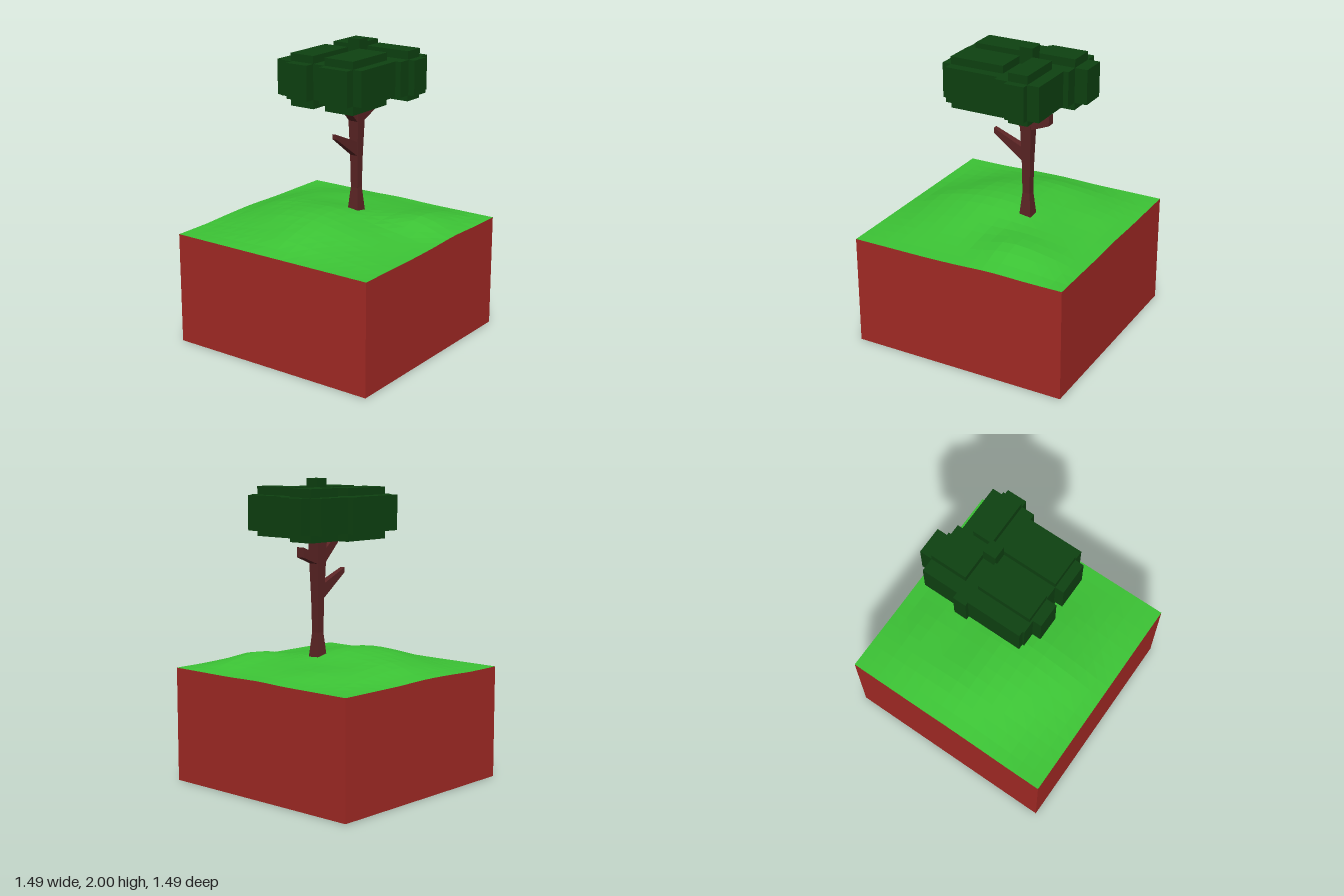
import * as THREE from 'three';

const material = (color, extra = {}) =>
  new THREE.MeshStandardMaterial({ color, flatShading: true, ...extra });

const HALF = 0.745, LEVEL = 0.75, CELLS = 16;

// Hill heights above LEVEL in hundredths: rows run back to front, columns left to right
const HILLS = [
  [1, 1, 1, 1.5, 1, 1, 1],
  [1, 4, 6, 5, 5, 6, 1],
  [1, 7, 8, 8, 7.5, 8.7, 1.5],
  [1.5, 8.5, 11.5, 12.3, 7.5, 4, 0.5],
  [1, 6, 11, 12, 8, 3, 0],
  [0, 2, 5, 7.5, 4.5, 2, 0],
  [0, 0, 0, 0, 0, 0, 0],
];

// Catmull-Rom interpolation through a row of evenly spaced values
function spline(v, t) {
  const i = Math.min(Math.floor(t), v.length - 2), f = t - i;
  const p = (k) => v[Math.max(0, Math.min(v.length - 1, k))];
  const a = p(i - 1), b = p(i), c = p(i + 1), d = p(i + 2);
  return b + 0.5 * f * (c - a + f * (2 * a - 5 * b + 4 * c - d + f * (3 * (b - c) + d - a)));
}

function groundHeight(x, z) {
  const grid = (n) => THREE.MathUtils.clamp((n + HALF) / (2 * HALF), 0, 1) * 6;
  const column = HILLS.map((row) => spline(row, grid(x)));
  return LEVEL + 0.01 * Math.max(0, spline(column, grid(z)));
}

function addMesh(parent, name, geometry, mat) {
  const mesh = new THREE.Mesh(geometry, mat);
  mesh.name = name;
  parent.add(mesh);
  return mesh;
}

// Moves every vertex with rule(vector)
function reshape(geometry, rule) {
  const p = geometry.attributes.position, v = new THREE.Vector3();
  for (let i = 0; i < p.count; i++) {
    rule(v.fromBufferAttribute(p, i));
    p.setXYZ(i, v.x, v.y, v.z);
  }
  geometry.computeVertexNormals();
  return geometry;
}

function createGround(mats) {
  const ground = new THREE.Group();
  ground.name = 'ground';
  const size = 2 * HALF;

  // Rolling grass surface
  const grass = new THREE.PlaneGeometry(size, size, CELLS, CELLS).rotateX(-Math.PI / 2);
  addMesh(ground, 'grass', reshape(grass, (v) => { v.y = groundHeight(v.x, v.z); }), mats.grass);

  // Four soil walls whose top edge follows the grass
  for (let i = 0; i < 4; i++) {
    const wall = new THREE.PlaneGeometry(size, 1, CELLS, 1)
      .translate(0, 0.5, HALF).rotateY(i * Math.PI / 2);
    addMesh(ground, 'soilWall', reshape(wall, (v) => {
      v.y = v.y > 0.5 ? groundHeight(v.x, v.z) : 0;
    }), mats.soil);
  }

  // Underside
  addMesh(ground, 'underside', new THREE.PlaneGeometry(size, size).rotateX(Math.PI / 2), mats.leaves);
  return ground;
}

const TRUNK_X = 0.044, TRUNK_Z = -0.138;

function createTrunk(mats) {
  const wood = new THREE.Group();
  wood.name = 'trunkAndBranches';

  // Square trunk: narrow above the foot, flaring again under the crown
  const widths = [[0.8, 0.09], [1.0, 0.052], [1.22, 0.06], [1.45, 0.076], [1.7, 0.092]];
  const trunk = new THREE.BoxGeometry(1, widths.length - 1, 1, 1, widths.length - 1, 1);
  addMesh(wood, 'trunk', reshape(trunk, (v) => {
    const [y, w] = widths[Math.round(v.y + (widths.length - 1) / 2)];
    v.set(TRUNK_X + v.x * w, y, TRUNK_Z + v.z * w);
  }), mats.wood);

  // Tapered branches: [z, low y, high y, width] at root and tip
  const branches = [
    [[-0.125, 1.21, 1.31, 0.056], [0.105, 1.375, 1.408, 0.034]],
    [[-0.115, 1.44, 1.53, 0.07], [0.045, 1.6, 1.66, 0.06]],
    [[-0.16, 1.445, 1.51, 0.07], [-0.3, 1.5, 1.565, 0.06]],
  ];
  for (const [root, tip] of branches) {
    const forward = tip[0] > root[0];
    const branch = new THREE.BoxGeometry(1, 1, 1);
    addMesh(wood, 'branch', reshape(branch, (v) => {
      const [z, low, high, w] = (v.z > 0) === forward ? tip : root;
      v.set(TRUNK_X + v.x * w, v.y > 0 ? high : low, z);
    }), mats.wood);
  }
  return wood;
}

function createCrown(mats) {
  const crown = new THREE.Group();
  crown.name = 'crown';
  const block = (name, x0, x1, y0, y1, z0, z1) =>
    addMesh(crown, name, new THREE.BoxGeometry(x1 - x0, y1 - y0, z1 - z0), mats.leaves)
      .position.set((x0 + x1) / 2, (y0 + y1) / 2, (z0 + z1) / 2);

  // Central post and the low cross between the clumps
  block('crownCentre', 0, 0.09, 1.66, 2, -0.19, -0.1);
  block('crownCross', 0, 0.09, 1.66, 1.89, -0.44, 0.27);
  block('crownCross', -0.31, 0.41, 1.66, 1.89, -0.19, -0.1);

  // Each clump: a tall core, then two shallower slabs crossing it
  const clumps = {
    frontRightLeaves: [
      [-0.18, 0, 1.6, 1.94, -0.1, 0.27],
      [-0.285, 0, 1.66, 1.89, -0.1, 0.27],
      [-0.16, 0, 1.66, 1.89, -0.1, 0.34],
      [-0.25, 0, 1.66, 1.89, -0.1, 0.282]],
    frontLeftLeaves: [
      [0.09, 0.305, 1.6, 1.94, -0.1, 0.27],
      [0.09, 0.37, 1.66, 1.89, -0.1, 0.27],
      [0.09, 0.305, 1.66, 1.89, -0.1, 0.33]],
    backLeftLeaves: [
      [0.09, 0.405, 1.62, 1.945, -0.325, -0.19],
      [0.09, 0.455, 1.66, 1.89, -0.325, -0.19],
      [0.09, 0.41, 1.66, 1.89, -0.405, -0.19]],
    backRightLeaves: [
      [-0.18, 0, 1.61, 1.945, -0.44, -0.19],
      [-0.27, 0, 1.66, 1.89, -0.44, -0.19],
      [-0.18, 0, 1.66, 1.89, -0.525, -0.19]],
  };
  for (const [name, boxes] of Object.entries(clumps))
    for (const box of boxes) block(name, ...box);
  return crown;
}

export function createModel() {
  const mats = {
    grass: material(0x3cc435, { side: THREE.DoubleSide }),
    soil: material(0xa52a25, { side: THREE.DoubleSide }),
    wood: material(0x5c2525),
    leaves: material(0x0e4211),
  };
  const model = new THREE.Group();
  model.name = 'treeOnGroundBlock';
  model.add(createGround(mats), createTrunk(mats), createCrown(mats));
  return model;
}
